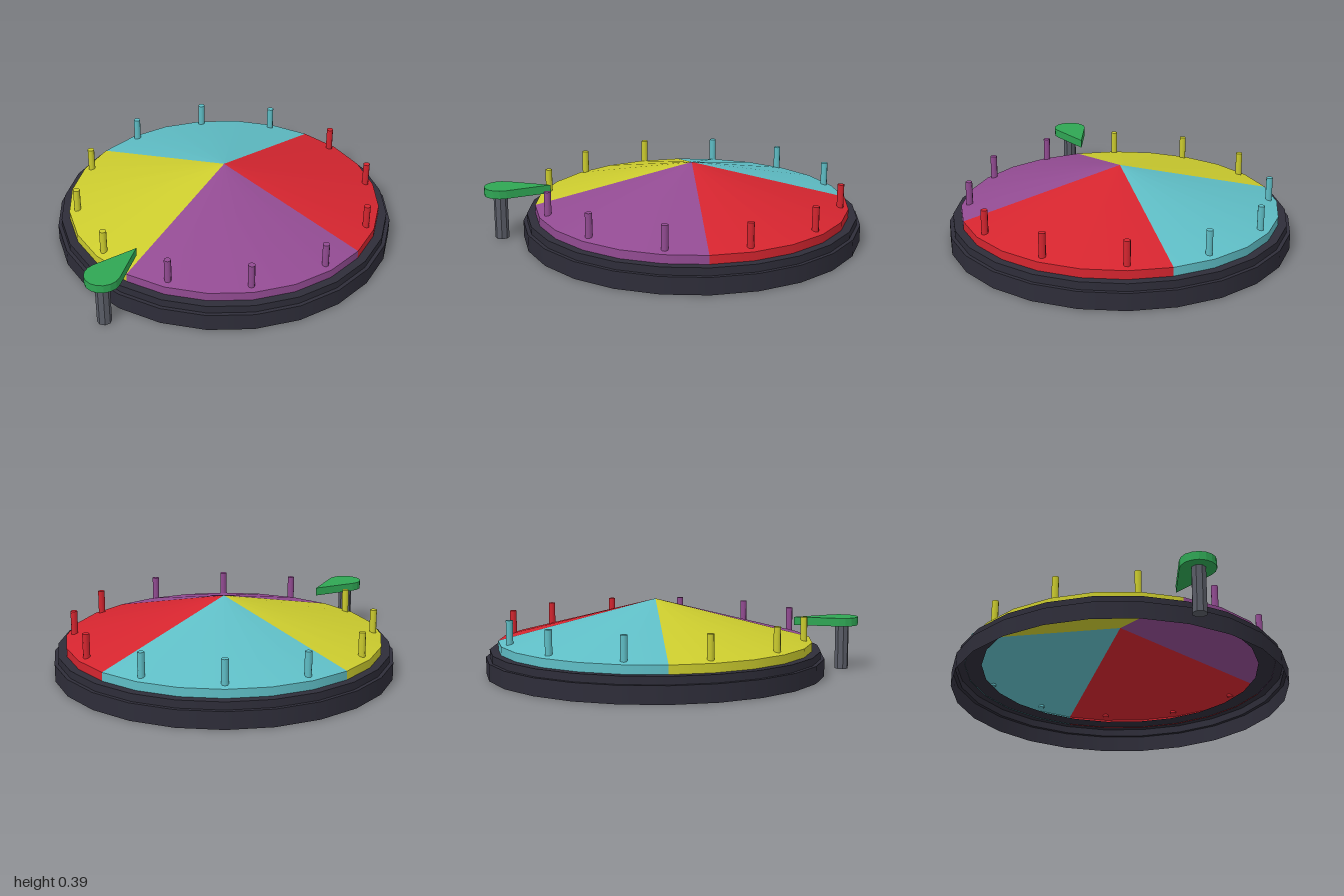
import * as THREE from 'three';

const SIDES = 24;
const CENTRE_Z = -0.1;

function material(name, color, extra = {}) {
  const m = new THREE.MeshStandardMaterial({ color, ...extra });
  m.name = name;
  return m;
}

function addMesh(parent, name, geometry, mat, x = 0, y = 0, z = 0) {
  const mesh = new THREE.Mesh(geometry, mat);
  mesh.name = name;
  mesh.position.set(x, y, z);
  parent.add(mesh);
  return mesh;
}

// Open conical or straight wall between two heights
function wall(rTop, rBottom, y0, y1, sides = SIDES, start = 0, sweep = Math.PI * 2) {
  return new THREE.CylinderGeometry(rTop, rBottom, y1 - y0, sides, 1, true, start, sweep)
    .translate(0, (y0 + y1) / 2, 0);
}

// Flat upward-facing ring, with corners lined up with the walls
function ring(inner, outer, y) {
  return new THREE.RingGeometry(inner, outer, SIDES).rotateX(-Math.PI / 2).translate(0, y, 0);
}

export function createModel() {
  const model = new THREE.Group();
  model.name = 'spinnerWheel';
  const open = { side: THREE.DoubleSide };
  const dark = material('dark base', 0x2e2d39, open);
  const grey = material('grey post', 0x595c66, { flatShading: true });
  const green = material('green pointer', 0x2fa654);
  const quarters = [
    material('purple', 0x924b92, open),
    material('red', 0xd5252f, open),
    material('teal', 0x5fbec6, open),
    material('yellow', 0xcccc2e, open),
  ];

  const wheel = new THREE.Group();
  wheel.name = 'wheel';
  wheel.position.z = CENTRE_Z;
  model.add(wheel);

  // Hollow stepped base
  addMesh(wheel, 'baseWall', wall(0.9, 0.9, 0, 0.09), dark);
  addMesh(wheel, 'baseStep', ring(0.88, 0.9, 0.09), dark);
  addMesh(wheel, 'upperWall', wall(0.88, 0.88, 0.09, 0.13), dark);
  addMesh(wheel, 'upperRing', ring(0.745, 0.88, 0.13), dark);

  // Four coloured quarters: skirt, cone and three pegs each
  const quarter = Math.PI / 2;
  const pegGeometry = new THREE.CylinderGeometry(0.018, 0.018, 0.132, 8);
  quarters.forEach((mat, i) => {
    const group = new THREE.Group();
    group.name = mat.name + 'Quarter';
    wheel.add(group);
    const start = i * quarter;
    addMesh(group, 'skirt', wall(0.835, 0.835, 0.127, 0.175, SIDES / 4, start, quarter), mat);
    addMesh(group, 'cone', wall(0, 0.835, 0.175, 0.392, SIDES / 4, start, quarter), mat);
    for (let k = 0; k < 3; k++) {
      const a = start + quarter * (k + 0.5) / 3;
      addMesh(group, 'peg', pegGeometry, mat, 0.79 * Math.sin(a), 0.244, 0.79 * Math.cos(a));
    }
  });

  // Post in front of the wheel
  addMesh(model, 'post', new THREE.CylinderGeometry(0.037, 0.037, 0.245, 8), grey, 0, 0.1225, 0.915);

  // Teardrop pointer: shape drawn in x and -z, then laid flat
  const shape = new THREE.Shape();
  shape.moveTo(0, -0.65);
  for (let i = 0; i <= 10; i++) {
    const a = Math.PI + 0.35 - (Math.PI + 0.7) * i / 10;
    shape.lineTo(0.09 * Math.cos(a + Math.PI) * -1, -0.91 - 0.09 * Math.sin(a));
  }
  shape.closePath();
  // Keep the tip end straight by starting the arc where it meets the sides
  const pointer = new THREE.ExtrudeGeometry(shape, { depth: 0.044, bevelEnabled: false });
  pointer.rotateX(-Math.PI / 2);
  addMesh(model, 'pointer', pointer, green, 0, 0.24, 0);

  return model;
}
